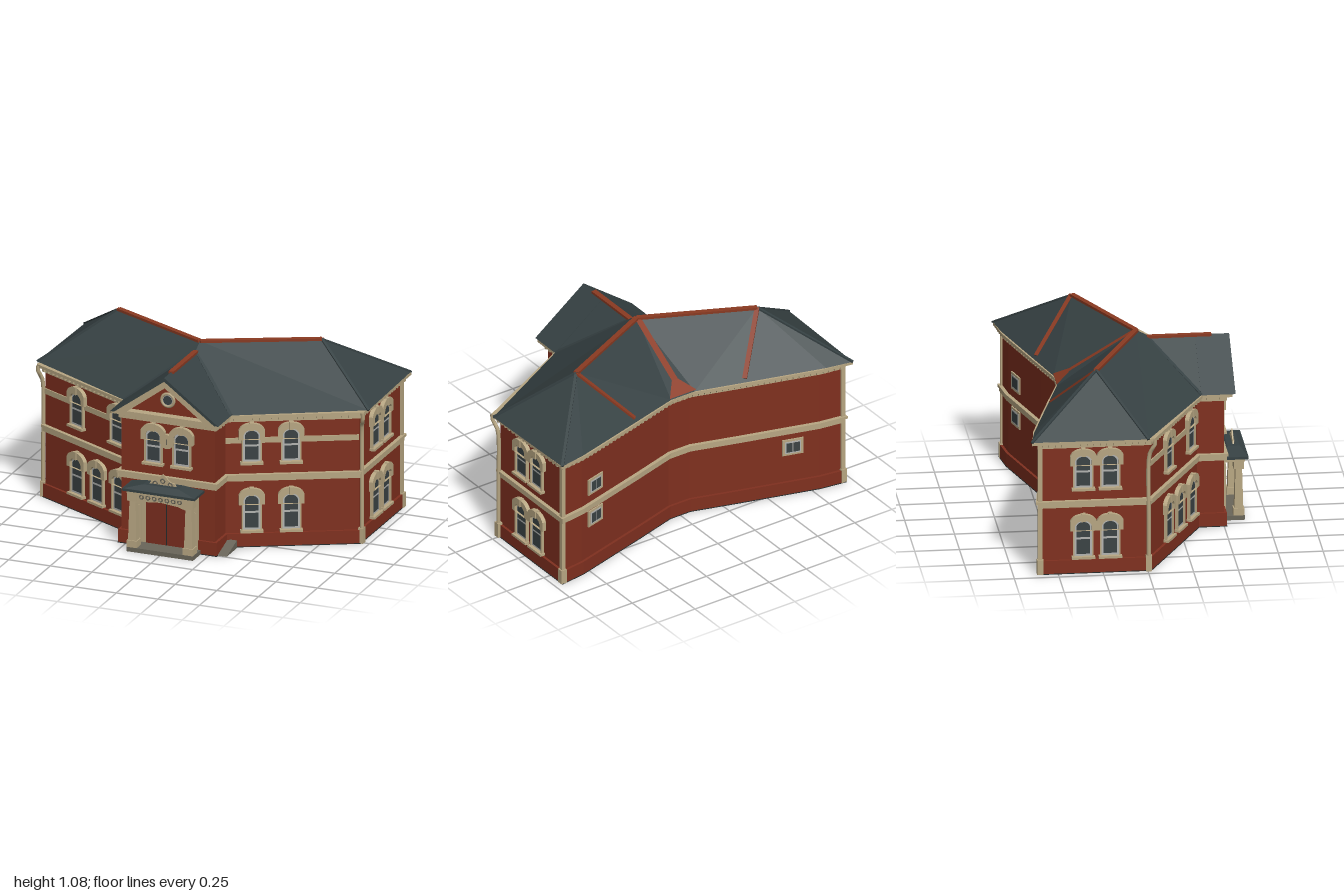
import * as THREE from 'three';

const mat = (name, color) => {
  const m = new THREE.MeshStandardMaterial({ color });
  m.name = name;
  return m;
};

export function createModel() {
  const model = new THREE.Group();
  model.name = 'brickHall';
  const brick = mat('brick red', 0x80301f), cream = mat('cream stone', 0xb8a783), slate = mat('slate', 0x364143),
    tile = mat('ridge tile', 0x8a3a22), frame = mat('sash white', 0xb4b5b2), glass = mat('window glass', 0x3b4345),
    door = mat('door red', 0x7a2d1f), stone = mat('step grey', 0x6a665a), dark = mat('dark line', 0x242a2b);
  slate.side = tile.side = THREE.DoubleSide;

  const add = (parent, name, geo, material, x = 0, y = 0, z = 0) => {
    const m = new THREE.Mesh(geo, material);
    m.name = name;
    m.position.set(x, y, z);
    parent.add(m);
    return m;
  };
  const box = (p, name, w, h, d, material, x, y, z) => add(p, name, new THREE.BoxGeometry(w, h, d), material, x, y, z);
  const shapeOf = pts => new THREE.Shape(pts.map(q => new THREE.Vector2(...q)));
  const extrude = (s, depth) => new THREE.ExtrudeGeometry(s, { depth, bevelEnabled: false, curveSegments: 8 });
  const faces = (name, tris, material) => {
    const g = new THREE.BufferGeometry();
    g.setAttribute('position', new THREE.Float32BufferAttribute(tris.flat(2), 3));
    g.computeVertexNormals();
    return add(model, name, g, material);
  };
  // square bar between two points
  const bar = (name, a, b, w, h, material) => {
    const p = new THREE.Vector3(...a), q = new THREE.Vector3(...b);
    const m = box(model, name, w, h, p.distanceTo(q), material);
    m.position.copy(p).lerp(q, 0.5);
    m.lookAt(q);
  };

  // footprint as [x, z], running from the front left wing round to the back
  const half = [[0.28, 0.5], [0.28, 0.35], [0.94, 0.01], [0.94, -0.6], [0.8, -0.58], [0.34, -0.45], [0.07, -0.37]];
  const mir = half.map(([x, z]) => [-x, z]).reverse();
  const P = [...mir.slice(4), ...half, ...mir.slice(0, 4)];
  const N = P.length;
  const edge = i => {
    const a = P[i % N], b = P[(i + 1) % N], dx = b[0] - a[0], dz = b[1] - a[1], l = Math.hypot(dx, dz);
    return { a, b, l, dx: dx / l, dz: dz / l };
  };
  // solid ring following the footprint, pushed outward by o
  const prism = (name, o, y0, y1, material) => {
    const pts = P.map((p, i) => {
      const e = edge(i + N - 1), f = edge(i);
      const k = o / (1 + e.dx * f.dx + e.dz * f.dz);
      return [p[0] - (e.dz + f.dz) * k, -(p[1] + (e.dx + f.dx) * k)];
    });
    return add(model, name, extrude(shapeOf(pts), y1 - y0).rotateX(-Math.PI / 2), material, 0, y0, 0);
  };
  // group on a wall: local x along it, local z outward
  const onWall = (i, t, name) => {
    const e = edge(i), g = new THREE.Group();
    g.name = name;
    g.position.set(e.a[0] + (e.b[0] - e.a[0]) * t, 0, e.a[1] + (e.b[1] - e.a[1]) * t);
    g.rotation.y = Math.atan2(-e.dz, e.dx);
    model.add(g);
    return g;
  };
  const at = (i, v, axis, name) => {
    const e = edge(i);
    return onWall(i, (v - e.a[axis]) / (e.b[axis] - e.a[axis]), name);
  };

  // walls, plinth and stone courses
  prism('floor', 0.017, 0, 0.004, dark);
  prism('walls', 0, 0.004, 0.76, brick);
  prism('plinth', 0.015, 0.004, 0.08, brick);
  prism('middleCourse', 0.014, 0.39, 0.42, cream);
  prism('middleCourseLip', 0.022, 0.415, 0.43, cream);
  prism('frieze', 0.014, 0.742, 0.772, cream);
  prism('cornice', 0.042, 0.772, 0.789, cream);
  for (let i = 0; i < N; i++) {
    const n = Math.floor(edge(i).l / 0.034);
    for (let k = 0; k < n; k++)
      box(onWall(i, (k + 0.5) / n, 'dentil'), 'dentil', 0.016, 0.018, 0.022, cream, 0, 0.763, 0.022);
  }
  for (const i of [0, 4]) box(onWall(i, 0.5, 'upperBand'), 'upperBand', edge(i).l, 0.032, 0.014, cream, 0, 0.628, 0);

  // arched sash window with stone hood and sill
  const arch = (w, y0, y1, rise) => {
    const s = new THREE.Shape();
    s.moveTo(-w, y0).lineTo(w, y0).lineTo(w, y1 - rise);
    s.quadraticCurveTo(w * 0.75, y1, 0, y1).quadraticCurveTo(-w * 0.75, y1, -w, y1 - rise);
    return s;
  };
  const sash = (g, y0, y1, w) => {
    const h = w / 2, mid = (y0 + y1) / 2;
    add(g, 'sashFrame', extrude(arch(h, y0, y1, 0.03), 0.008), frame);
    add(g, 'upperPane', extrude(arch(h - 0.012, mid + 0.006, y1 - 0.012, 0.025), 0.003), glass, 0, 0, 0.008);
    box(g, 'lowerPane', w - 0.024, mid - y0 - 0.02, 0.004, glass, 0, (y0 + mid) / 2 + 0.003, 0.008);
    for (const s of [-1, 1]) box(g, 'jamb', 0.008, y1 - y0 - 0.03, 0.02, cream, s * (h + 0.003), (y0 + y1) / 2 - 0.015, 0.008);
    const hood = arch(h + 0.024, y1 - 0.06, y1 + 0.036, 0.04);
    const gap = arch(h - 0.003, y1 - 0.07, y1, 0.03).getPoints(6);
    const top = gap.filter(p => p.y > y1 - 0.04);
    const open = [new THREE.Vector2(-h + 0.003, y1 - 0.0599), new THREE.Vector2(h - 0.003, y1 - 0.0599), ...top];
    hood.holes.push(new THREE.Path(open));
    add(g, 'hood', extrude(hood, 0.024), cream);
    box(g, 'keystone', 0.024, 0.045, 0.03, cream, 0, y1 + 0.018, 0.016);
    box(g, 'sill', w + 0.03, 0.014, 0.034, cream, 0, y0 - 0.006, 0.014);
  };
  const rows = { low: [0.1, 0.312], high: [0.503, 0.697] };
  const windows = [
    [0, 0, 'high', [-0.69, -0.385], 0.098], [0, 0, 'low', [-0.69, -0.535, -0.37], 0.098],
    [4, 0, 'high', [0.41, 0.605], 0.098], [4, 0, 'low', [0.41, 0.605], 0.098],
    [2, 0, 'high', [-0.085, 0.085], 0.095]];
  for (const i of [5, 13]) for (const r of ['low', 'high']) windows.push([i, 1, r, [-0.21, -0.36], 0.1]);
  for (const [i, axis, row, list, w] of windows)
    for (const v of list) sash(at(i, v, axis, 'sashWindow'), ...rows[row], w);

  // small square windows in the back wall
  for (const [i, x, y] of [[7, 0.69, 0.53], [7, 0.69, 0.325], [11, -0.65, 0.3]]) {
    const g = at(i, x, 0, 'backWindow');
    box(g, 'surround', 0.125, 0.1, 0.016, cream, 0, y, 0);
    box(g, 'sashFrame', 0.095, 0.075, 0.02, frame, 0, y, 0);
    for (const s of [-1, 1]) box(g, 'pane', 0.036, 0.058, 0.024, glass, s * 0.021, y, 0);
  }

  // hipped wing roofs, built for one side and mirrored
  const e = 0.79, C = [0, 1.07, 0.04], R = [0.61, 1.07, -0.25], F = [0.995, e, 0], V = [0.32, e, 0.37];
  const B = [[0.98, e, -0.65], [0.82, e, -0.62], [0.36, e, -0.49], [0.08, e, -0.41], [0, e, -0.41]];
  const G = [0, 1.03, 0.1], A = [0, 1.03, 0.37];
  for (const s of [1, -1]) {
    const m = p => [p[0] * s, p[1], p[2]];
    const tris = [[C, F, R], [C, V, F], [C, [0, 0.888, 0.37], V], [F, B[0], R], [R, B[0], B[1]], [R, B[1], B[2]],
      [R, B[2], B[3]], [R, B[3], C], [C, B[3], B[4]], [V, A, G]];
    faces('wingRoof', tris.map(t => (s > 0 ? t : [t[0], t[2], t[1]]).map(m)), slate);
    bar('ridge', m(C), m(R), 0.03, 0.014, tile);
    bar('backRib', m(R), m([0.37, 0.805, -0.475]), 0.026, 0.014, tile);
    bar('hip', m(R), m(F), 0.016, 0.01, slate);
    bar('hip', m(R), m(B[0]), 0.016, 0.01, slate);
    bar('valley', m(G), m(V), 0.02, 0.012, slate);
  }
  const l = [[0.018, 1.078, 0.04], [0.02, 0.855, -0.33], [0.09, 0.8, -0.412]], r = l.map(([x, y, z]) => [-x, y, z]);
  faces('backValley', [0, 1].flatMap(i => [[l[i], l[i + 1], r[i]], [r[i], l[i + 1], r[i + 1]]]), tile);

  // front gable: roof, brick face, stone rake and round window
  const chevron = shapeOf([[-0.325, e], [-0.3, e], [0, 1.01], [0.3, e], [0.325, e], [0, 1.032]]);
  add(model, 'gableRoof', extrude(chevron, 0.192), slate, 0, 0, 0.368);
  bar('gableRidge', [0, 1.03, 0.46], [0, 1.03, 0.1], 0.03, 0.014, tile);
  add(model, 'gableWall', extrude(shapeOf([[-0.29, 0.76], [0.29, 0.76], [0.29, e], [0, 1], [-0.29, e]]), 0.13), brick, 0, 0, 0.375);
  const rake = shapeOf([[-0.305, 0.782], [0.305, 0.782], [0, 1.012]]);
  rake.holes.push(new THREE.Path([[-0.225, 0.8], [0, 0.968], [0.225, 0.8]].map(q => new THREE.Vector2(...q))));
  add(model, 'gableRake', extrude(rake, 0.05), cream, 0, 0, 0.502);
  const disc = (name, rad, d, material, y, z) =>
    add(model, name, new THREE.CylinderGeometry(rad, rad, d, 24).rotateX(Math.PI / 2), material, 0, y, z);
  add(model, 'roundWindowRing', new THREE.TorusGeometry(0.037, 0.009, 6, 24), cream, 0, 0.882, 0.506);
  disc('roundWindowFrame', 0.034, 0.008, frame, 0.882, 0.505);
  disc('roundWindowPane', 0.026, 0.008, glass, 0.882, 0.507);
  disc('wallRoundel', 0.042, 0.024, cream, 0.64, 0.512);
  box(model, 'roundelMark', 0.006, 0.032, 0.004, stone, 0, 0.64, 0.525);

  // porch: steps, doors, columns, entablature and low roof
  box(model, 'porchStep', 0.4, 0.026, 0.12, stone, 0, 0.013, 0.565);
  box(model, 'doorSurround', 0.32, 0.33, 0.026, cream, 0, 0.19, 0.505);
  box(model, 'doors', 0.25, 0.255, 0.03, door, 0, 0.153, 0.506);
  box(model, 'doorSeam', 0.005, 0.255, 0.004, dark, 0, 0.153, 0.522);
  for (const s of [-1, 1]) {
    const x = s * 0.168;
    box(model, 'columnBase', 0.06, 0.065, 0.062, cream, x, 0.033, 0.593);
    const shaft = new THREE.CylinderGeometry(0.026, 0.035, 0.24, 4, 1).rotateY(Math.PI / 4);
    add(model, 'columnShaft', shaft.toNonIndexed(), cream, x, 0.18, 0.593).geometry.computeVertexNormals();
    box(model, 'columnCapital', 0.055, 0.045, 0.058, cream, x, 0.322, 0.593);
    box(model, 'pilaster', 0.035, 0.33, 0.022, cream, x, 0.165, 0.51);
    add(model, 'scrollBracket', new THREE.TorusGeometry(0.03, 0.006, 6, 14, Math.PI).rotateY(Math.PI / 2).rotateX(-Math.PI / 2),
      cream, x, 0.27, 0.525);
    box(model, 'bracketArm', 0.014, 0.012, 0.06, cream, x, 0.34, 0.535);
  }
  const lintel = shapeOf([[-0.15, 0.345], [-0.15, 0.285], [-0.1, 0.3], [0, 0.31], [0.1, 0.3], [0.15, 0.285], [0.15, 0.345]].reverse());
  add(model, 'carvedLintel', extrude(lintel, 0.02), cream, 0, 0, 0.59);
  for (let k = -3; k <= 3; k++)
    add(model, 'lintelScroll', new THREE.TorusGeometry(0.011, 0.004, 5, 10), stone, k * 0.038, 0.328, 0.611);
  box(model, 'entablature', 0.4, 0.02, 0.12, cream, 0, 0.354, 0.565);
  box(model, 'porchEave', 0.436, 0.014, 0.143, slate, 0, 0.37, 0.573);
  const hipGeo = new THREE.CylinderGeometry(0.35, Math.SQRT1_2, 1, 4, 1).rotateY(Math.PI / 4).scale(0.43, 0.028, 0.138).toNonIndexed();
  hipGeo.computeVertexNormals();
  add(model, 'porchRoof', hipGeo, slate, 0, 0.39, 0.573);
  const crest = shapeOf([[-0.085, 0.395], [0.085, 0.395], [0.07, 0.42], [0.045, 0.425], [0.02, 0.45], [0, 0.468], [-0.02, 0.45], [-0.045, 0.425], [-0.07, 0.42]]);
  add(model, 'carvedCrest', extrude(crest, 0.008), cream, 0, 0, 0.571);
  for (const x of [-0.045, 0, 0.045])
    add(model, 'crestScroll', new THREE.TorusGeometry(0.012, 0.004, 5, 10), stone, x, x ? 0.41 : 0.428, 0.58);

  // cellar hatch beside the front block
  const hatch = add(model, 'cellarHatch', extrude(shapeOf([[0, 0], [0.15, 0], [0.15, 0.045]]), 0.07).rotateY(Math.PI / 2), stone, 0.28, 0.002, 0.5);
  hatch.material = stone;

  // downpipes and corner posts
  for (const s of [-1, 1]) {
    const path = new THREE.CatmullRomCurve3([[0.957, 0.004, 0.005], [0.957, 0.3, 0.005], [0.957, 0.66, 0.005],
      [0.962, 0.71, 0.015], [0.975, 0.745, 0.035], [0.975, 0.785, 0.038]].map(([x, y, z]) => new THREE.Vector3(x * s, y, z)));
    add(model, 'downpipe', new THREE.TubeGeometry(path, 24, 0.012, 8), cream);
    box(model, 'downpipeFoot', 0.03, 0.09, 0.034, cream, s * 0.955, 0.047, 0.005);
    box(model, 'cornerPost', 0.024, 0.74, 0.024, cream, s * 0.942, 0.375, -0.6);
    box(model, 'cornerFoot', 0.036, 0.085, 0.036, cream, s * 0.944, 0.045, -0.6);
  }
  return model;
}
